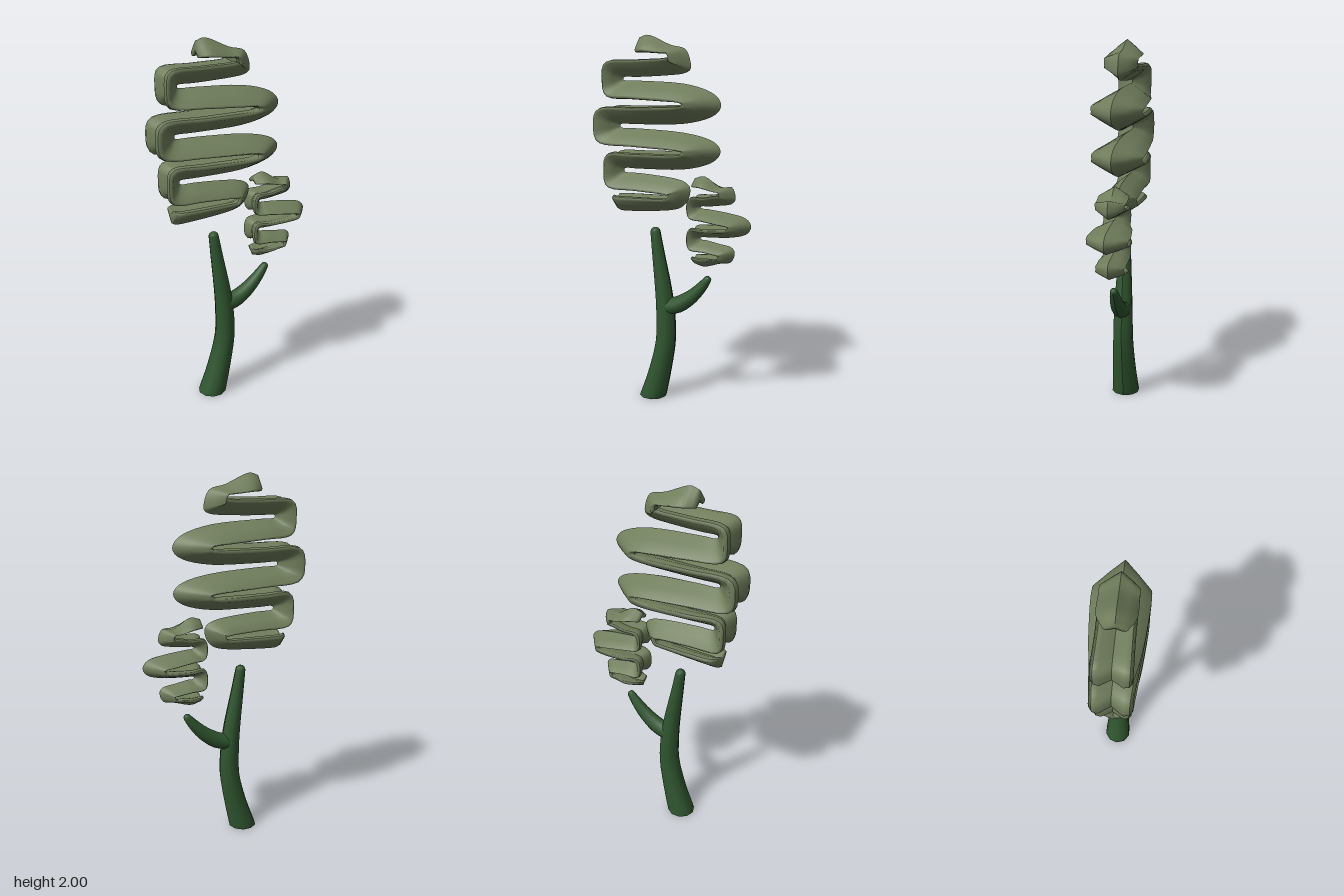
import * as THREE from 'three';

const leaf = new THREE.MeshStandardMaterial({ color: 0x707d5c });
leaf.name = 'sage green foliage';
const bark = new THREE.MeshStandardMaterial({ color: 0x305530 });
bark.name = 'dark green bark';

// Skin a list of smooth strips; each strip is rings[i][j] of Vector3
function skin(strips, material, name) {
  const pos = [], index = [];
  for (const { rings, flip } of strips) {
    const base = pos.length / 3, n = rings[0].length;
    rings.forEach((ring) => ring.forEach((p) => pos.push(p.x, p.y, p.z)));
    for (let i = 0; i < rings.length - 1; i++) {
      for (let j = 0; j < n - 1; j++) {
        const a = base + i * n + j, b = a + 1, c = a + n, d = c + 1;
        if (flip) index.push(a, c, b, b, c, d);
        else index.push(a, b, c, b, d, c);
      }
    }
  }
  const geo = new THREE.BufferGeometry();
  geo.setAttribute('position', new THREE.Float32BufferAttribute(pos, 3));
  geo.setIndex(index);
  geo.computeVertexNormals();
  const mesh = new THREE.Mesh(geo, material);
  mesh.name = name;
  return mesh;
}

// Half cross-section of the ribbon: [position from edge (0) to ridge (1), share of half width]
const SECTION = [
  [[1, 0], [0.62, 0.5], [0.2, 1], [0.04, 0.85]],
  [[0.04, 0.85], [0, 0.58], [0.3, 0]],
];

// Winding ribbon; stations are [ridgeX, ridgeY, edgeX, edgeY, halfWidth]
function ribbon(stations, name) {
  const ridge = new THREE.CatmullRomCurve3(
    stations.map((s) => new THREE.Vector3(s[0], s[1], s[4])), false, 'catmullrom', 0.5);
  const edge = new THREE.CatmullRomCurve3(
    stations.map((s) => new THREE.Vector3(s[2], s[3], 0)), false, 'catmullrom', 0.5);
  const steps = (stations.length - 1) * 4;
  const strips = [];
  for (const side of [1, -1]) {
    for (const part of SECTION) {
      const rings = [];
      for (let i = 0; i <= steps; i++) {
        const a = ridge.getPoint(i / steps), b = edge.getPoint(i / steps);
        const ring = part.map(([n, k]) => new THREE.Vector3(
          b.x + (a.x - b.x) * n, b.y + (a.y - b.y) * n, a.z * k * side));
        const centre = new THREE.Vector3((a.x + b.x) / 2, (a.y + b.y) / 2, 0);
        const cap = ring.map(() => centre.clone());
        if (i === 0) rings.push(cap);
        rings.push(ring);
        if (i === steps) rings.push(cap);
      }
      strips.push({ rings, flip: side < 0 });
    }
  }
  return skin(strips, leaf, name);
}

// Right-hand lobes {top, bottom, tipX, tipY, edgeX, w, thick} joined by left bends {outer, inner, w}
function crown({ lobes, bends, startX, endX, runX, name }) {
  const st = [];
  lobes.forEach((l, i) => {
    const { top, bottom, tipX, tipY, edgeX, w, thick: t } = l;
    const mid = (top - t + bottom + t) / 2;
    const back = tipX - edgeX;
    const first = i === 0, last = i === lobes.length - 1;
    const wr = first || last ? w : w * 0.88;
    if (first) {
      st.push([startX, top - 0.012, startX, top - t, w * 0.6]);
      st.push([startX + 0.06, top, startX + 0.06, top - t, w]);
    } else st.push([runX, top, runX, top - t, wr]);
    // around the lobe, ridge outside
    st.push([edgeX - back * 0.2, top - (first ? 0.05 : 0.012), edgeX - back * 0.5, mid + 0.012, w]);
    st.push([tipX - back * 0.3, top * 0.5 + tipY * 0.5 + 0.005, edgeX - back * 0.08, mid + 0.008, w]);
    st.push([tipX, tipY, edgeX, (mid + tipY) / 2, w * 0.95]);
    st.push([tipX - back * 0.3, bottom * 0.5 + tipY * 0.5 - 0.005, edgeX - back * 0.08, mid - 0.008, w]);
    st.push([edgeX - back * 0.2, bottom + (last ? 0.025 : 0.01), edgeX - back * 0.5, mid - 0.012, w]);
    if (last) {
      st.push([endX + 0.06, bottom, endX + 0.06, bottom + t, w]);
      st.push([endX, bottom + 0.012, endX, bottom + t, w * 0.6]);
      return;
    }
    st.push([runX, bottom, runX, bottom + t, wr]);
    // around the left bend, ridge inside
    const b = bends[i], next = lobes[i + 1], y = (bottom + next.top) / 2;
    const q = b.outer * 0.7 + b.inner * 0.3;
    st.push([b.inner + 0.015, bottom, q, bottom + t * 0.9, b.w]);
    st.push([b.inner, y, b.outer, y, b.w]);
    st.push([b.inner + 0.015, next.top, q, next.top - next.thick * 0.9, b.w]);
  });
  return ribbon(st, name);
}

// Tapered round limb; stations are [x, y, radius]; level keeps rings horizontal
function limb(stations, level, name) {
  const curve = new THREE.CatmullRomCurve3(
    stations.map((s) => new THREE.Vector3(s[0], s[1], s[2])), false, 'catmullrom', 0.5);
  const steps = (stations.length - 1) * 3, sides = 10, rings = [];
  const ringAt = (p, dir, r) => Array.from({ length: sides + 1 }, (_, j) => {
    const a = (j / sides) * Math.PI * 2, c = Math.cos(a) * r;
    return new THREE.Vector3(p.x + dir.y * c, p.y - dir.x * c, Math.sin(a) * r);
  });
  for (let i = 0; i <= steps; i++) {
    const p = curve.getPoint(i / steps), t = curve.getTangent(i / steps);
    const dir = level ? new THREE.Vector2(0, 1) : new THREE.Vector2(t.x, t.y).normalize();
    if (i === 0) rings.push(ringAt(p, dir, 0), ringAt(p, dir, p.z * 0.98));
    rings.push(ringAt(p, dir, p.z));
    // rounded tip
    if (i === steps) {
      for (const [up, k] of [[0.45, 0.85], [0.75, 0.5], [0.85, 0]]) {
        const q = new THREE.Vector3(p.x + dir.x * p.z * up, p.y + dir.y * p.z * up, 0);
        rings.push(ringAt(q, dir, p.z * k));
      }
    }
  }
  // ring runs from the right towards the front, so the skin is flipped to face outward
  return skin([{ rings, flip: true }], bark, name);
}

export function createModel() {
  const group = new THREE.Group();
  group.name = 'tree';

  group.add(limb([
    [-0.128, 0, 0.078], [-0.083, 0.16, 0.066], [-0.047, 0.34, 0.057],
    [-0.048, 0.5, 0.053], [-0.062, 0.64, 0.047], [-0.09, 0.82, 0.036], [-0.11, 0.955, 0.028],
  ], true, 'trunk'));
  group.add(limb([
    [-0.05, 0.535, 0.048], [0.03, 0.557, 0.046], [0.11, 0.612, 0.038],
    [0.17, 0.675, 0.029], [0.204, 0.72, 0.021],
  ], false, 'branch'));

  group.add(crown({
    name: 'mainFoliage', startX: -0.2, endX: -0.35, runX: -0.2,
    lobes: [
      { top: 2.0, bottom: 1.785, tipX: 0.1, tipY: 1.84, edgeX: 0.0, w: 0.09, thick: 0.09 },
      { top: 1.765, bottom: 1.535, tipX: 0.27, tipY: 1.645, edgeX: 0.09, w: 0.14, thick: 0.095 },
      { top: 1.512, bottom: 1.295, tipX: 0.27, tipY: 1.41, edgeX: 0.09, w: 0.14, thick: 0.092 },
      { top: 1.27, bottom: 1.055, tipX: 0.1, tipY: 1.195, edgeX: 0.0, w: 0.09, thick: 0.09 },
    ],
    bends: [
      { outer: -0.39, inner: -0.3, w: 0.095 },
      { outer: -0.447, inner: -0.32, w: 0.105 },
      { outer: -0.39, inner: -0.3, w: 0.095 },
    ],
  }));

  group.add(crown({
    name: 'sideFoliage', startX: 0.125, endX: 0.125, runX: 0.2,
    lobes: [
      { top: 1.275, bottom: 1.118, tipX: 0.357, tipY: 1.175, edgeX: 0.285, w: 0.078, thick: 0.055 },
      { top: 1.104, bottom: 0.952, tipX: 0.445, tipY: 1.03, edgeX: 0.345, w: 0.11, thick: 0.055 },
      { top: 0.935, bottom: 0.79, tipX: 0.357, tipY: 0.88, edgeX: 0.285, w: 0.078, thick: 0.055 },
    ],
    bends: [
      { outer: 0.103, inner: 0.16, w: 0.075 },
      { outer: 0.103, inner: 0.16, w: 0.075 },
    ],
  }));

  return group;
}
